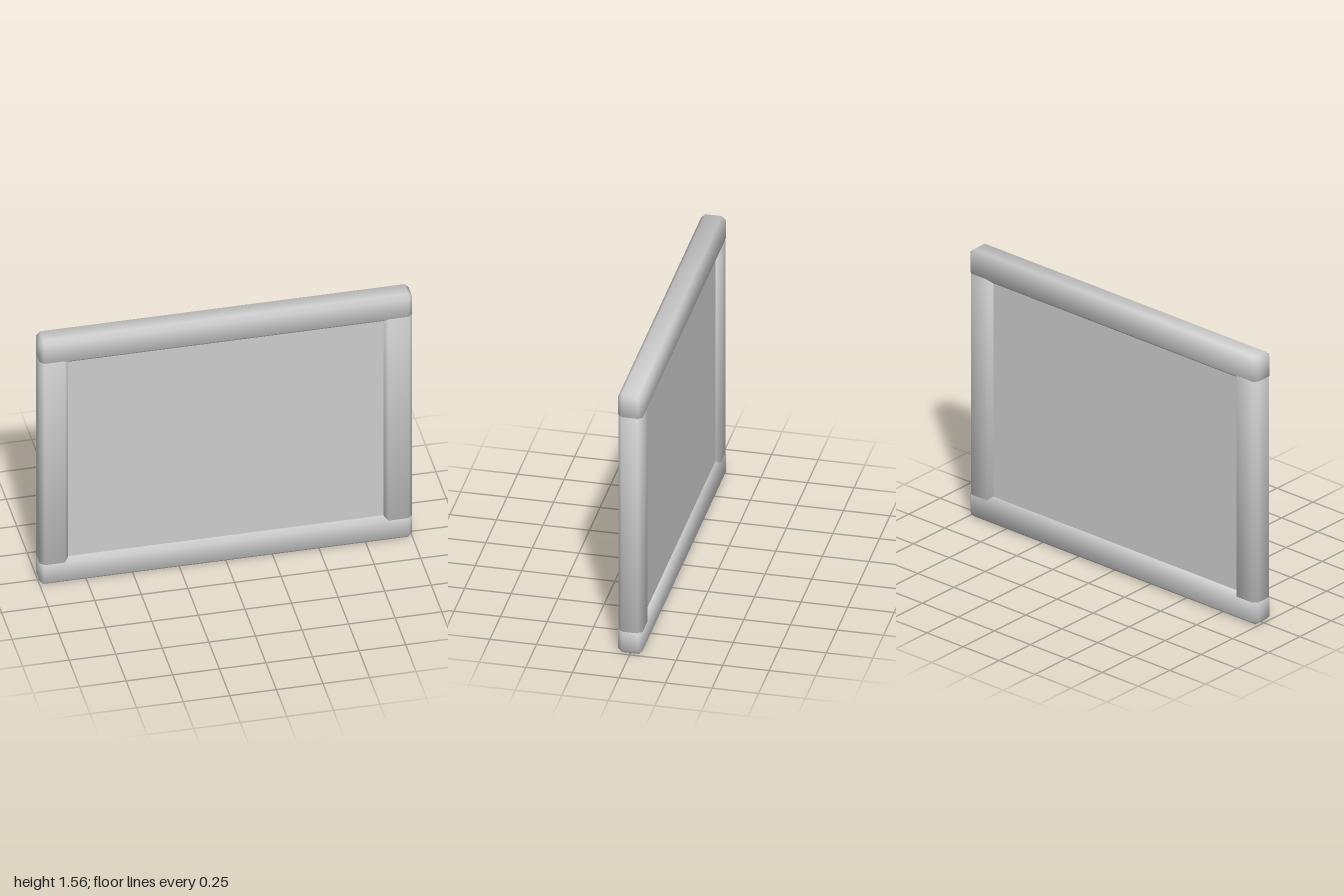
import * as THREE from 'three';
import { ConvexGeometry } from 'three/addons/geometries/ConvexGeometry.js';

const WIDTH = 2, HEIGHT = 1.557, DEPTH = 0.132, BAR = 0.155, BEVEL = 0.022;

// Box with bevelled edges and corners, shaded softly across the bevels
function bevelledBar(w, h, d, bevel) {
  const half = [w / 2, h / 2, d / 2];
  const points = [];
  for (const sx of [-1, 1]) for (const sy of [-1, 1]) for (const sz of [-1, 1]) {
    for (let axis = 0; axis < 3; axis++) {
      const p = [sx, sy, sz].map((s, i) => s * (half[i] - (i === axis ? 0 : bevel)));
      points.push(new THREE.Vector3(...p));
    }
  }
  const geometry = new ConvexGeometry(points);
  const pos = geometry.attributes.position, normal = geometry.attributes.normal;
  const n = new THREE.Vector3();
  for (let i = 0; i < pos.count; i++) {
    // each corner's normal leans from its own face towards the two bevels
    const p = [pos.getX(i), pos.getY(i), pos.getZ(i)];
    n.set(...p.map((v, k) => Math.sign(v) * (Math.abs(v) > half[k] - bevel / 2 ? 2.8 : 1.09)));
    n.normalize();
    normal.setXYZ(i, n.x, n.y, n.z);
  }
  return geometry;
}

export function createModel() {
  const group = new THREE.Group();
  group.name = 'framedPanel';
  const grey = new THREE.MeshStandardMaterial({ color: 0xcccccc });
  grey.name = 'lightGrey';

  const add = (name, geometry, x, y) => {
    const mesh = new THREE.Mesh(geometry, grey);
    mesh.name = name;
    mesh.position.set(x, y, 0);
    group.add(mesh);
  };

  // rails run the full width
  const rail = bevelledBar(WIDTH, BAR, DEPTH, BEVEL);
  add('topRail', rail, 0, HEIGHT - BAR / 2);
  add('bottomRail', rail, 0, BAR / 2);

  // posts sit a hair inside the rails so the rails cover the corners
  const post = bevelledBar(BAR - 0.002, HEIGHT - 0.002, DEPTH - 0.002, BEVEL);
  add('leftPost', post, WIDTH / 2 - BAR / 2, HEIGHT / 2);
  add('rightPost', post, -WIDTH / 2 + BAR / 2, HEIGHT / 2);

  // flat panel filling the frame, set just behind the bevels
  add('panel', new THREE.BoxGeometry(WIDTH - BAR * 1.6, HEIGHT - BAR * 1.6, 0.08), 0, HEIGHT / 2);

  return group;
}
